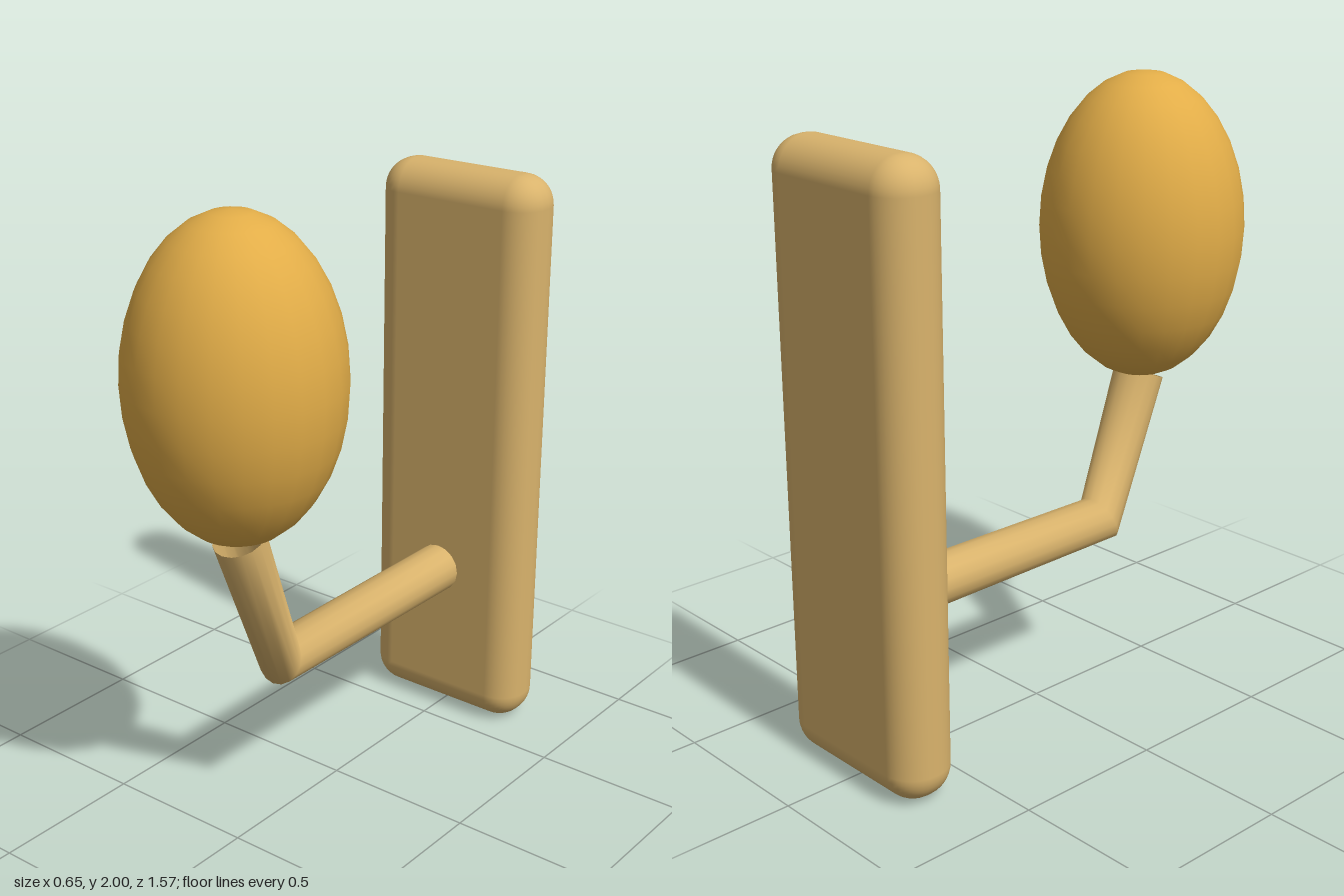
import * as THREE from 'three';
import { RoundedBoxGeometry } from 'three/addons/geometries/RoundedBoxGeometry.js';

// Bends a straight open tube so that its rings sit at the given stations [y, z, tangentY, tangentZ]
function bentTube(radius, sides, stations) {
  const last = stations.length - 1;
  const geo = new THREE.CylinderGeometry(radius, radius, 1, sides, last, true);
  const pos = geo.attributes.position;
  const nor = geo.attributes.normal;
  for (let i = 0; i < pos.count; i++) {
    const [y, z, ty, tz] = stations[Math.round((pos.getY(i) + 0.5) * last)];
    const len = Math.hypot(ty, tz);
    const across = pos.getZ(i);
    const nAcross = nor.getZ(i);
    pos.setXYZ(i, pos.getX(i), y - (across * tz) / len, z + (across * ty) / len);
    nor.setXYZ(i, nor.getX(i), (-nAcross * tz) / len, (nAcross * ty) / len);
  }
  return geo;
}

export function createModel() {
  const model = new THREE.Group();
  model.name = 'wallLamp';
  const brass = new THREE.MeshStandardMaterial({ color: 0xd9b36c });
  const brassOpen = new THREE.MeshStandardMaterial({ color: 0xd9b36c, side: THREE.DoubleSide });
  const amber = new THREE.MeshStandardMaterial({ color: 0xe2ad48 });

  const add = (name, geometry, material, x, y, z) => {
    const mesh = new THREE.Mesh(geometry, material);
    mesh.name = name;
    mesh.position.set(x, y, z);
    model.add(mesh);
    return mesh;
  };

  // Upright plate with rounded edges
  add('wallPlate', new RoundedBoxGeometry(0.6, 1.92, 0.214, 5, 0.1), brass, 0, 0.96, -0.68);

  // Arm reaching forward from the plate, then bending up to the shade
  const arm = bentTube(0.082, 16, [
    [0.543, -0.56, 0, 1],
    [0.547, 0.283, 0.43, 0.9],
    [1.02, 0.46, 0.92, 0.38],
  ]);
  add('arm', arm, brassOpen, 0, 0, 0);

  // Egg-shaped shade
  const shade = add('shade', new THREE.SphereGeometry(0.327, 24, 16), amber, 0, 1.506, 0.46);
  shade.scale.y = 0.494 / 0.327;

  return model;
}
